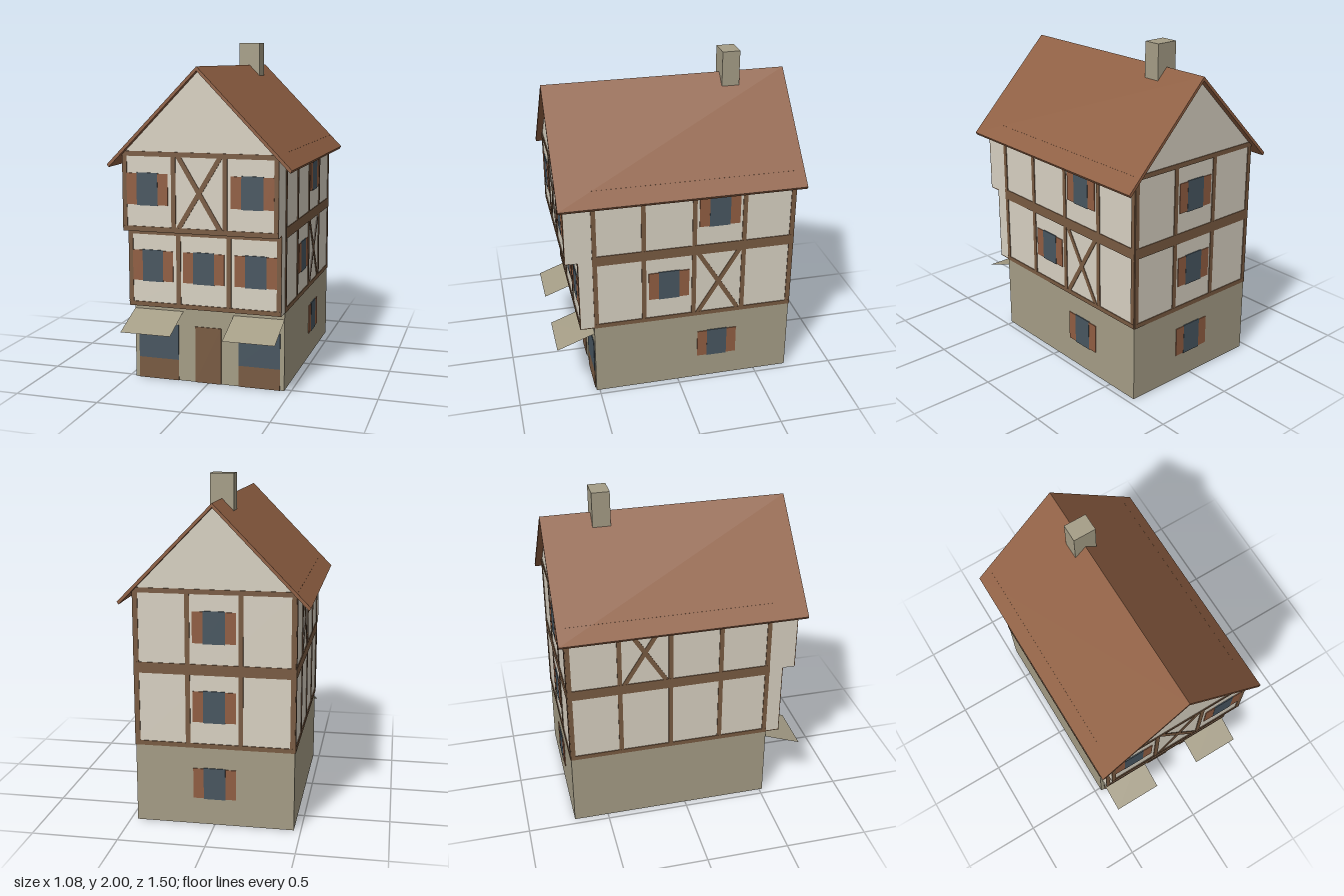
import * as THREE from 'three';

const mat = (name, color, side = THREE.FrontSide) => {
  const m = new THREE.MeshStandardMaterial({ color, side });
  m.name = name;
  return m;
};

export function createModel() {
  const plaster = mat('plaster', 0xd8d1c2, THREE.DoubleSide);
  const stone = mat('stone', 0xa59d86, THREE.DoubleSide);
  const timber = mat('timber', 0x795b42);
  const glass = mat('glass', 0x485660);
  const shutter = mat('shutter', 0x915e42);
  const tile = mat('roofTile', 0x8f5f42);

  const W = 0.46, BACK = 0.71;            // half width, back wall distance
  const Y1 = 0.465, Y2 = 0.925, Y3 = 1.385; // storey heights
  const Z0 = 0.52, Z1 = 0.6, Z2 = 0.675;  // front wall of each storey

  const house = new THREE.Group();
  house.name = 'timberFramedHouse';

  const add = (parent, name, geo, material, x = 0, y = 0, z = 0) => {
    const m = new THREE.Mesh(geo, material);
    m.name = name;
    m.position.set(x, y, z);
    parent.add(m);
    return m;
  };
  // Each wall is a group whose local xy plane is the wall surface, +z outward
  const wallGroup = (name, rotY, distance) => {
    const g = new THREE.Group();
    g.name = name;
    g.rotation.y = rotY;
    g.position.set(Math.sin(rotY) * distance, 0, Math.cos(rotY) * distance);
    house.add(g);
    return g;
  };
  const sheet = (g, name, material, x0, x1, y0, y1) =>
    add(g, name, new THREE.PlaneGeometry(x1 - x0, y1 - y0), material, (x0 + x1) / 2, (y0 + y1) / 2);
  const plate = (g, name, material, x0, x1, y0, y1, t = 0.005) =>
    add(g, name, new THREE.BoxGeometry(x1 - x0, y1 - y0, t), material, (x0 + x1) / 2, (y0 + y1) / 2, t / 2);
  const rail = (g, x0, x1, y0, y1) => plate(g, 'rail', timber, x0, x1, y0, y1);
  const posts = (g, xs, y0, y1) =>
    xs.forEach((x) => plate(g, 'post', timber, x - 0.0135, x + 0.0135, y0, y1, 0.0045));

  // Crossed braces with ends cut flush to the panel
  const cross = (g, x0, x1, y0, y1) => {
    const w = 0.032;
    for (const [a, b] of [[x0, x1], [x1, x0]]) {
      const d = Math.sign(b - a) * w;
      const s = new THREE.Shape([
        [a, y0], [a + d, y0], [b, y1], [b - d, y1],
      ].map((p) => new THREE.Vector2(...p)));
      add(g, 'brace', new THREE.ExtrudeGeometry(s, { depth: 0.004, bevelEnabled: false }), timber);
    }
  };
  // Window with a pair of open shutters
  const window = (g, x, y) => {
    plate(g, 'windowGlass', glass, x - 0.063, x + 0.063, y - 0.094, y + 0.094, 0.006);
    for (const s of [-1, 1]) {
      const a = x + s * 0.063, b = x + s * 0.124;
      plate(g, 'shutter', shutter, Math.min(a, b), Math.max(a, b), y - 0.09, y + 0.09, 0.005);
    }
  };
  const gable = (g) => {
    const s = new THREE.Shape([[-W, Y3], [W, Y3], [0, 1.848]].map((p) => new THREE.Vector2(...p)));
    add(g, 'gable', new THREE.ShapeGeometry(s), plaster);
  };

  // Ground floor front: door, shop windows, awnings
  const shop = wallGroup('shopFront', 0, Z0);
  sheet(shop, 'stoneWall', stone, -W, W, 0, Y1);
  plate(shop, 'door', timber, -0.08, 0.08, 0, 0.34);
  for (const s of [-1, 1]) {
    const x0 = s * 0.31 - 0.125, x1 = s * 0.31 + 0.125;
    plate(shop, 'shopWindow', glass, x0, x1, 0.127, 0.34);
    plate(shop, 'shopPanel', timber, x0, x1, 0, 0.127);
    const drop = 0.087, reach = 0.23;
    const awning = add(shop, 'awning', new THREE.PlaneGeometry(0.305, Math.hypot(drop, reach)),
      stone, s * 0.3075, 0.425 - drop / 2, reach / 2);
    awning.rotation.x = -Math.atan2(reach, drop);
  }

  // First floor front
  const first = wallGroup('firstFloorFront', 0, Z1);
  sheet(first, 'plasterWall', plaster, -W, W, Y1, Y2);
  rail(first, -W, W, Y1, 0.492);
  rail(first, -W, W, 0.895, Y2);
  posts(first, [-0.4465, -0.152, 0.152, 0.4465], Y1, Y2);
  [-0.31, 0, 0.31].forEach((x) => window(first, x, 0.71));

  // Second floor front and gable
  const second = wallGroup('secondFloorFront', 0, Z2);
  sheet(second, 'plasterWall', plaster, -W, W, Y2, Y3);
  gable(second);
  rail(second, -W, W, Y2, 0.955);
  rail(second, -W, W, 1.357, Y3);
  posts(second, [-0.4465, -0.152, 0.152, 0.4465], Y2, Y3);
  cross(second, -0.137, 0.137, 0.955, 1.357);
  [-0.31, 0.31].forEach((x) => window(second, x, 1.17));

  // Undersides of the overhanging storeys
  for (const [y, z0, z1] of [[Y1, Z0, Z1], [Y2, Z1, Z2]]) {
    add(house, 'overhangSoffit', new THREE.BoxGeometry(W * 2, 0.006, z1 - z0), timber, 0, y + 0.003, (z0 + z1) / 2);
  }

  // Side walls: s = 1 for the left (+x), -1 for the right
  for (const s of [1, -1]) {
    const g = wallGroup(s > 0 ? 'leftWall' : 'rightWall', s * Math.PI / 2, W);
    const span = (name, m, zFront, y0, y1) =>
      sheet(g, name, m, Math.min(-s * zFront, s * BACK), Math.max(-s * zFront, s * BACK), y0, y1);
    span('stoneWall', stone, Z0, 0, Y1);
    span('plasterWall', plaster, Z1, Y1, Y2);
    span('plasterWall', plaster, Z2, Y2, Y3);
    const a = Math.min(-s * Z0, s * BACK), b = Math.max(-s * Z0, s * BACK);
    rail(g, a, b, Y1, 0.492);
    rail(g, a, b, 0.895, 0.958);
    rail(g, a, b, 1.357, Y3);
    posts(g, [0.505, 0.213, -0.094, -0.4, -0.6965].map((z) => -s * z), Y1, Y3);
    const c0 = s * 0.108, c1 = s * 0.386;
    if (s > 0) {
      cross(g, c0, c1, 0.492, 0.895);
      window(g, 0.247, 1.17);
      window(g, -0.06, 0.71);
      window(g, 0.247, 0.25);
    } else {
      cross(g, c1, c0, 0.958, 1.357);
    }
  }

  // Back wall
  const back = wallGroup('backWall', Math.PI, BACK);
  sheet(back, 'stoneWall', stone, -W, W, 0, Y1);
  sheet(back, 'plasterWall', plaster, -W, W, Y1, Y3);
  gable(back);
  rail(back, -W, W, Y1, 0.492);
  rail(back, -W, W, 0.895, 0.958);
  rail(back, -W, W, 1.357, Y3);
  posts(back, [-0.4465, -0.152, 0.152, 0.4465], Y1, Y3);
  [0.25, 0.71, 1.17].forEach((y) => window(back, 0, y));

  // Roof: thin chevron running the length of the house
  const chevron = new THREE.Shape([
    [0, 1.86], [-0.54, 1.308], [-0.53, 1.292], [0, 1.836], [0.53, 1.292], [0.54, 1.308],
  ].map((p) => new THREE.Vector2(...p)));
  add(house, 'roof', new THREE.ExtrudeGeometry(chevron, { depth: 1.462, bevelEnabled: false }), tile, 0, 0, -0.75);

  // Chimney
  add(house, 'chimney', new THREE.BoxGeometry(0.136, 0.22, 0.106), stone, 0, 1.89, -0.405);

  return house;
}
